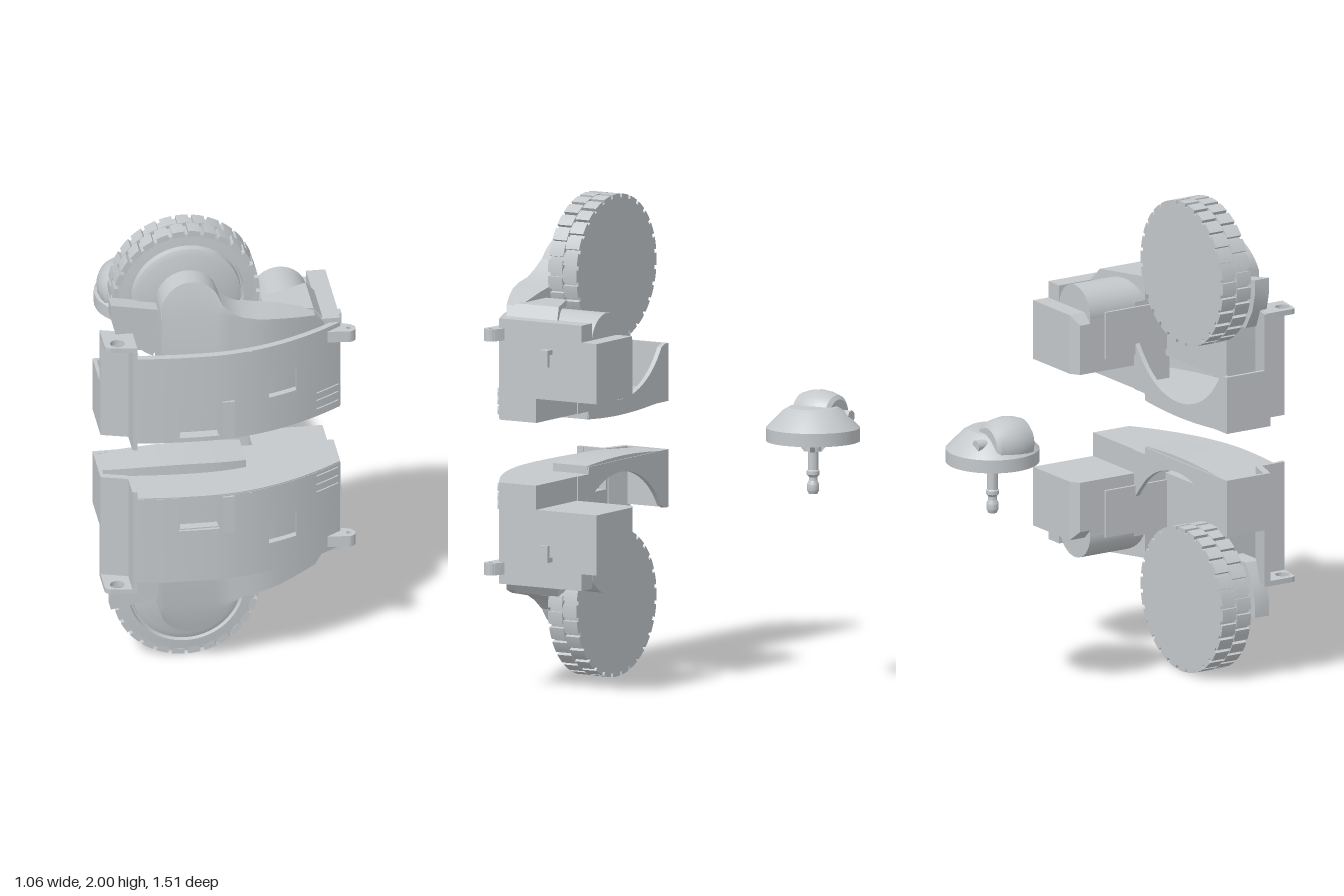
import * as THREE from 'three';
import { toCreasedNormals } from 'three/addons/utils/BufferGeometryUtils.js';

const grey = new THREE.MeshStandardMaterial({ color: 0xc4c8cb, side: THREE.DoubleSide });
grey.name = 'plastic grey';

// plan curve of the bowed front panel, and the same with the set-back left corner
const bow = x => 0.748 - (x > -0.1 ? 0.61 : 0.23) * (x + 0.1) ** 2;
const front = x => (x < -0.415 ? 0.58 + (x + 0.53) * 0.3 : bow(x));
const range = (a, b, n) => Array.from({ length: n + 1 }, (_, i) => a + (b - a) * i / n);

function add(group, name, geo, crease = 0.5) {
  const mesh = new THREE.Mesh(toCreasedNormals(geo, crease), grey);
  mesh.name = name;
  group.add(mesh);
}

// box from its limits
function box(x0, x1, y0, y1, z0, z1) {
  return new THREE.BoxGeometry(x1 - x0, y1 - y0, z1 - z0)
    .translate((x0 + x1) / 2, (y0 + y1) / 2, (z0 + z1) / 2);
}

// solid through convex [y, z] rings placed along x
function loft(xs, ring) {
  const rings = xs.map(x => ring(x).map(([y, z]) => [x, y, z]));
  const n = rings[0].length, pos = [], last = rings[rings.length - 1];
  for (let s = 0; s < rings.length - 1; s++) {
    const a = rings[s], b = rings[s + 1];
    for (let i = 0; i < n; i++) {
      const j = (i + 1) % n;
      pos.push(...a[i], ...a[j], ...b[i], ...a[j], ...b[j], ...b[i]);
    }
  }
  for (let i = 1; i < n - 1; i++) {
    pos.push(...rings[0][0], ...rings[0][i + 1], ...rings[0][i]);
    pos.push(...last[0], ...last[i], ...last[i + 1]);
  }
  const g = new THREE.BufferGeometry();
  g.setAttribute('position', new THREE.Float32BufferAttribute(pos, 3));
  g.computeVertexNormals();
  return g;
}
const rect = (y0, y1, z0, z1) => [[y0, z1], [y0, z0], [y1, z0], [y1, z1]];

// flat plate from an (x, -z) shape
function plate(shape, y0, y1) {
  return new THREE.ExtrudeGeometry(shape, { depth: y1 - y0, bevelEnabled: false, curveSegments: 10 })
    .rotateX(-Math.PI / 2).translate(0, y0, 0);
}

// cylinder lying along z
const rod = (r, x, y, z0, z1, n = 32) => new THREE.CylinderGeometry(r, r, z1 - z0, n)
  .rotateX(Math.PI / 2).translate(x, y, (z0 + z1) / 2);

function lathe(points, n) {
  return new THREE.LatheGeometry(points.map(p => new THREE.Vector2(...p)), n);
}

const WX = -0.165, WY = 1.695;

function addWheel(g) {
  add(g, 'wheel', lathe([[0, 0.385], [0.29, 0.385], [0.29, 0.522], [0.24, 0.527], [0.236, 0.505],
    [0.228, 0.505], [0.224, 0.53], [0.2, 0.54], [0, 0.54]], 72)
    .rotateX(-Math.PI / 2).scale(1, 1, -1).translate(WX, WY, 0).toNonIndexed());
  // two staggered rows of tread blocks
  const N = 28, step = Math.PI * 2 / N;
  for (let i = 0; i < N; i++) {
    for (const [z0, z1, off] of [[0.385, 0.452, 0], [0.455, 0.524, 0.5]]) {
      const a = (i + off) * step, h = step * 0.38, s = new THREE.Shape();
      s.absarc(0, 0, 0.305, a - h, a + h, false);
      s.absarc(0, 0, 0.28, a + h, a - h, true);
      add(g, 'treadBlock', new THREE.ExtrudeGeometry(s, { depth: z1 - z0, bevelEnabled: false, curveSegments: 2 })
        .translate(WX, WY, z0), 0.3);
    }
  }
}

function addHousing(g) {
  // bowed front panel, split around the pocket and the window
  const panels = [[-0.53, -0.416, 1.1, 1.58], [-0.415, -0.4, 1.1, 1.58], [-0.4, -0.23, 1.135, 1.53],
    [-0.23, -0.06, 1.29, 1.53], [-0.06, 0.08, 1.135, 1.53], [0.08, 0.15, 1.135, 1.53],
    [0.15, 0.27, 1.135, 1.29], [0.15, 0.27, 1.4, 1.53], [0.27, 0.47, 1.135, 1.53]];
  for (const [x0, x1, y0, y1] of panels) {
    add(g, 'frontPanel', loft(range(x0, x1, 5), x => rect(y0, y1, front(x) - 0.03, front(x))));
  }
  add(g, 'cornerStep', box(-0.42, -0.405, 1.1, 1.58, 0.59, 0.722));
  add(g, 'pocketBack', loft(range(-0.24, -0.05, 3), x => rect(1.135, 1.3, bow(x) - 0.07, bow(x) - 0.05)));
  for (const x of [-0.235, -0.065]) add(g, 'pocketSide', box(x, x + 0.01, 1.14, 1.3, 0.68, 0.735));
  add(g, 'pocketTop', box(-0.235, -0.06, 1.285, 1.295, 0.68, 0.735));
  add(g, 'frontRib', box(-0.05, 0, 1.14, 1.31, 0.7, 0.754));
  add(g, 'panelSeam', loft([0.065, 0.075], x => rect(1.14, 1.53, 0.7, bow(x) + 0.005)));
  for (const y of [1.15, 1.19, 1.225]) {
    add(g, 'cornerLatch', loft(range(0.36, 0.46, 2), x => rect(y, y + 0.018, bow(x) - 0.03, bow(x) + 0.008)));
  }
  // floor, lower rail and back wall with the wheel arch
  const span = [-0.53, -0.416, ...range(-0.415, 0.47, 18)];
  add(g, 'floor', loft(span, x => rect(1.13, 1.15, 0.37, front(x) - 0.002)));
  add(g, 'lowerRail', loft(range(-0.53, 0.08, 12), x => {
    const y = 1.102 - 0.017 * Math.max(0, Math.cos((x + 0.17) * 5));
    return rect(y, 1.135, 0.37, bow(x) - 0.19);
  }));
  add(g, 'backWall', loft([...range(-0.53, 0.075, 22), 0.08, 0.12, 0.16], x => rect(x > 0.078 ? 1.13 : 1.1,
    Math.min(1.34, 1.51 - Math.sqrt(0.36 ** 2 - Math.min(0.36, Math.abs(x - WX)) ** 2)), 0.365, 0.385)));
  add(g, 'leftWall', box(-0.53, -0.515, 1.1, 1.34, 0.365, 0.57));
  add(g, 'innerRib', box(-0.4, -0.39, 1.14, 1.53, 0.62, 0.715));

  // mounting tabs with screw holes
  const tab = new THREE.Shape();
  tab.moveTo(-0.53, -0.56).lineTo(-0.53, -0.68).quadraticCurveTo(-0.53, -0.71, -0.5, -0.71)
    .lineTo(-0.4, -0.726).lineTo(-0.4, -0.6).closePath();
  tab.holes.push(new THREE.Path().absarc(-0.475, -0.675, 0.03, 0, Math.PI * 2, true));
  add(g, 'screwTab', plate(tab, 1.56, 1.582));
  const ear = new THREE.Shape();
  ear.moveTo(0.41, -0.59).lineTo(0.46, -0.52).lineTo(0.515, -0.542)
    .absarc(0.5, -0.57, 0.03, 1.05, -1.8, true).closePath();
  ear.holes.push(new THREE.Path().absarc(0.502, -0.57, 0.01, 0, Math.PI * 2, true));
  add(g, 'screwEar', plate(ear, 1.46, 1.51));
  add(g, 'sideHook', box(0.46, 0.51, 1.42, 1.44, 0.29, 0.33));
  add(g, 'sideHookTip', box(0.495, 0.51, 1.37, 1.43, 0.29, 0.33));
}

function addGearArm(g) {
  // swing arm: round end over the axle, sloping down toward the motor
  const slope = [[-0.04, 1.725], [0, 1.685], [0.05, 1.66], [0.12, 1.645], [0.2, 1.63], [0.28, 1.61], [0.36, 1.59], [0.4, 1.54]];
  const xs = [...range(0, 1, 12).map(t => WX - 0.13 * Math.cos(t * 2.55)), ...slope.map(p => p[0])];
  const top = x => {
    const s = slope.find(p => p[0] === x);
    return s ? s[1] : WY + Math.sqrt(Math.max(0, 0.13 ** 2 - (x - WX) ** 2));
  };
  add(g, 'swingArm', loft(xs, x => {
    const t = top(x), z = Math.min(0.68, bow(x) - 0.035);
    const taper = 0.3 * Math.max(0, t - 1.69);
    return [[1.25, z], [1.25, 0.52], [t, 0.52], [t, z - taper], [Math.min(t - 0.02, 1.68), z]];
  }), 0.35);
  add(g, 'motorCover', loft([0.16, 0.28, 0.36, 0.4], x =>
    rect(1.5, Math.min(1.6, 1.6 - (x - 0.36) * 1.3), 0.42 - (x - 0.16) * 0.45, 0.54)));
  add(g, 'wheelGuard', loft([-0.49, -0.47, -0.42, -0.28], x =>
    rect(x < -0.48 ? 1.66 : x < -0.46 ? 1.58 : 1.5, 1.72 - (x + 0.49) * 0.19, 0.53, 0.6)));
}

function addMotor(g) {
  add(g, 'motorEnd', loft([0.16, 0.2, 0.47], x => rect(1.23, x < 0.18 ? 1.44 : 1.48, x < 0.18 ? 0.1 : 0.075, 0.16)));
  add(g, 'motorTray', box(0.16, 0.47, 1.23, 1.46, 0.15, 0.4));
  add(g, 'motorCan', rod(0.115, 0.275, 1.465, 0.15, 0.53));
  add(g, 'motorSide', box(0.39, 0.47, 1.23, 1.55, 0.15, 0.55));
  add(g, 'gearbox', box(0.16, 0.47, 1.135, 1.5, 0.37, 0.54));
  add(g, 'trayFin', box(0.148, 0.16, 1.28, 1.48, 0.22, 0.52));
}

// reflect every mesh of a module across y = 1, swapping corners to keep faces outward
function mirrored(src) {
  const out = new THREE.Group();
  for (const m of src.children) {
    const geo = m.geometry.clone().scale(1, -1, 1).translate(0, 2, 0);
    for (const key of ['position', 'normal']) {
      const a = geo.getAttribute(key);
      for (let i = 0; i < a.count; i += 3) {
        for (let c = 0; c < 3; c++) {
          const t = a.getComponent(i + 1, c);
          a.setComponent(i + 1, c, a.getComponent(i + 2, c));
          a.setComponent(i + 2, c, t);
        }
      }
    }
    const mesh = new THREE.Mesh(geo, grey);
    mesh.name = m.name;
    out.add(mesh);
  }
  return out;
}

function makeCaster() {
  const g = new THREE.Group();
  // hollow conical hood, roller and its axle
  add(g, 'casterHood', lathe([[0.18, 1.05], [0.193, 1.05], [0.193, 1.105], [0.125, 1.175], [0.1, 1.19], [0, 1.195]], 48), 0.3);
  add(g, 'casterInner', lathe([[0.18, 1.05], [0.178, 1.1], [0.12, 1.165], [0, 1.175]], 48));
  add(g, 'roller', lathe([[0, -0.092], [0.075, -0.092], [0.092, -0.08], [0.104, -0.045], [0.11, 0],
    [0.104, 0.045], [0.092, 0.08], [0.075, 0.092], [0, 0.092]], 40).rotateX(Math.PI / 2).translate(-0.075, 1.142, 0.015));
  add(g, 'rollerAxle', rod(0.025, -0.08, 1.15, -0.135, 0.125, 16));
  // stepped stem with webs
  add(g, 'stem', lathe([[0, 0.83], [0.018, 0.83], [0.025, 0.845], [0.025, 0.87], [0.018, 0.885], [0.018, 0.9],
    [0.027, 0.91], [0.027, 0.925], [0.022, 0.93], [0.022, 1.01], [0.035, 1.01], [0.035, 1.18]], 24));
  const web = new THREE.Shape([[-0.08, 1.06], [-0.035, 1.005], [0.035, 1.005], [0.08, 1.06], [0.08, 1.08], [-0.08, 1.08]]
    .map(p => new THREE.Vector2(...p)));
  for (const a of [0.5, 2.07]) {
    add(g, 'stemWeb', new THREE.ExtrudeGeometry(web, { depth: 0.02, bevelEnabled: false })
      .translate(0, 0, -0.01).rotateY(a));
  }
  g.position.set(-0.185, 0, -0.56);
  return g;
}

export function createModel() {
  const model = new THREE.Group();
  const upper = new THREE.Group();
  for (const part of [addWheel, addHousing, addGearArm, addMotor]) part(upper);
  const lower = mirrored(upper), caster = makeCaster();
  upper.name = 'upperWheelModule';
  lower.name = 'lowerWheelModule';
  caster.name = 'caster';
  model.add(upper, lower, caster);
  return model;
}
